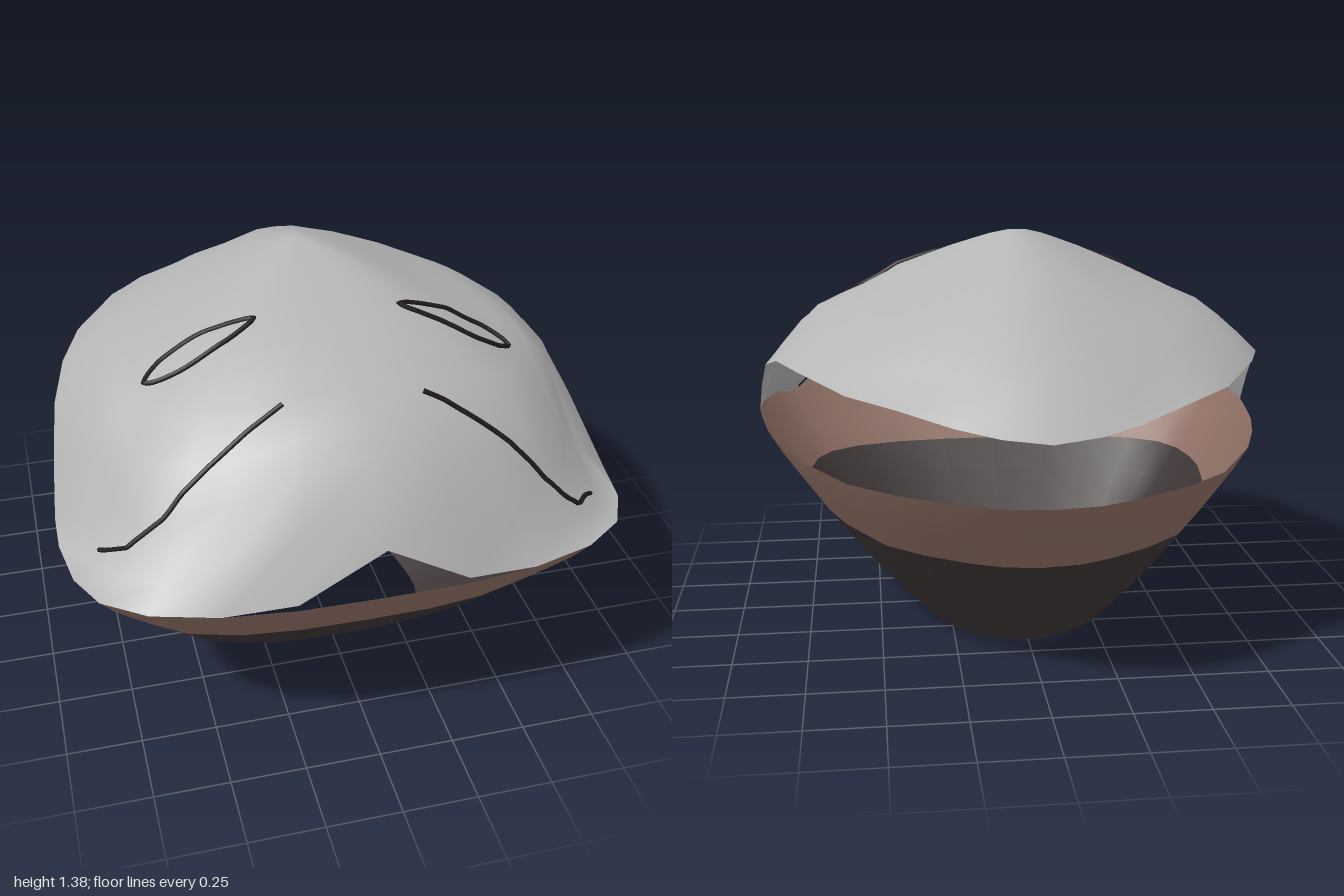
import * as THREE from 'three';

const makeMaterial = (name, color, side = THREE.FrontSide) => {
  const m = new THREE.MeshStandardMaterial({ color, side });
  m.name = name;
  return m;
};

// Half plan outline from front to back: x, z, then hood heights at the outer HOOD_T rings
const HOOD_T = [0.45, 0.65, 0.75, 0.83, 0.92, 1];
const HALF = [
  [0, 0.995, 1.25, 1.18, 1.12, 1.06, 0.95, 0.84],
  [0.27, 0.99, 1.25, 1.17, 1.1, 1.02, 0.88, 0.68],
  [0.5, 0.965, 1.24, 1.14, 1.04, 0.95, 0.79, 0.66],
  [0.71, 0.905, 1.23, 1.11, 1.0, 0.88, 0.71, 0.66],
  [0.845, 0.81, 1.22, 1.09, 0.97, 0.82, 0.68, 0.66],
  [0.91, 0.68, 1.22, 1.09, 0.98, 0.84, 0.67, 0.66],
  [0.938, 0.5, 1.22, 1.11, 1.03, 0.92, 0.72, 0.66],
  [0.937, 0.35, 1.22, 1.13, 1.08, 1.0, 0.87, 0.66],
  [0.915, 0.2, 1.22, 1.14, 1.1, 1.04, 0.94, 0.79],
  [0.885, 0.02, 1.22, 1.15, 1.11, 1.06, 0.99, 0.905],
  [0.835, -0.17, 1.22, 1.15, 1.11, 1.07, 1.02, 0.955],
  [0.76, -0.38, 1.22, 1.15, 1.11, 1.07, 1.02, 0.96],
  [0.6, -0.67, 1.22, 1.14, 1.09, 1.05, 0.99, 0.94],
  [0.45, -0.81, 1.23, 1.13, 1.07, 1.02, 0.96, 0.925],
  [0.28, -0.92, 1.23, 1.12, 1.06, 1.01, 0.95, 0.89],
  [0.15, -0.98, 1.235, 1.12, 1.06, 1.01, 0.94, 0.87],
  [0, -1, 1.235, 1.12, 1.06, 1.01, 0.94, 0.855],
];
const OUTLINE = [...HALF, ...HALF.slice(1, -1).reverse().map(([x, ...rest]) => [-x, ...rest])];

// Skin closed rings, ordered from bottom to top, into one smooth surface
function loft(rings) {
  const n = rings[0].length;
  const index = [];
  for (let i = 0; i < rings.length - 1; i++) {
    for (let j = 0; j < n; j++) {
      const k = (j + 1) % n;
      const a = i * n + j, b = i * n + k, c = b + n, d = a + n;
      index.push(a, b, c, a, c, d);
    }
  }
  const g = new THREE.BufferGeometry();
  g.setAttribute('position', new THREE.Float32BufferAttribute(rings.flat(2), 3));
  g.setIndex(index);
  g.computeVertexNormals();
  return g;
}

// Bowl wall: the outline scaled at each [height, scale] level
const bowlGeometry = (levels) =>
  loft(levels.map(([y, s]) => OUTLINE.map(([x, z]) => [x * s, y, z * s])));

// Hood: rings shrinking from the rim to a soft peak slightly behind the centre
function hoodGeometry() {
  const peakZ = -0.07;
  const ring = (t, height) =>
    OUTLINE.map((p) => [p[0] * t, height(p), peakZ + (p[1] - peakZ) * t]);
  const outer = HOOD_T.map((t, i) => ring(t, (p) => p[2 + i])).reverse();
  const crown = [[0.25, 1.305], [0.17, 1.335], [0.1, 1.36], [0.04, 1.376], [0, 1.378]]
    .map(([t, y]) => ring(t, () => y));
  return loft([...outer, ...crown]);
}

// Thin tube laid over the hood along plan points [x, z]
function drapedLine(points, hood, material, name, closed = false, tension = 0) {
  const plan = new THREE.CatmullRomCurve3(
    points.map(([x, z]) => new THREE.Vector3(x, 3, z)), closed, 'catmullrom', tension);
  const ray = new THREE.Raycaster();
  const down = new THREE.Vector3(0, -1, 0);
  const samples = plan.getSpacedPoints(28);
  if (closed) samples.pop();
  const path = samples.map((p) => {
    ray.set(p, down);
    const hit = ray.intersectObject(hood)[0];
    return new THREE.Vector3(p.x, (hit ? hit.point.y : 0.66) + 0.006, p.z);
  });
  const curve = new THREE.CatmullRomCurve3(path, closed, 'catmullrom', 0.3);
  const mesh = new THREE.Mesh(new THREE.TubeGeometry(curve, 70, 0.008, 6, closed), material);
  mesh.name = name;
  return mesh;
}

export function createModel() {
  const group = new THREE.Group();
  group.name = 'hoodedBowl';
  const grey = makeMaterial('hoodGrey', 0xb5b5b5, THREE.DoubleSide);
  const brown = makeMaterial('bandBrown', 0x8d6e63, THREE.DoubleSide);
  const dark = makeMaterial('baseDark', 0x3d3535, THREE.DoubleSide);
  const ink = makeMaterial('lineBlack', 0x1f1b1b);

  const add = (geometry, material, name) => {
    const mesh = new THREE.Mesh(geometry, material);
    mesh.name = name;
    group.add(mesh);
    return mesh;
  };

  // Open-bottomed bowl in two colours
  add(bowlGeometry([[0, 0.4], [0.1, 0.51], [0.2, 0.615], [0.3, 0.71], [0.41, 0.805]]), dark, 'bowlBase');
  add(bowlGeometry([[0.41, 0.805], [0.5, 0.88], [0.58, 0.945], [0.66, 1]]), brown, 'bowlBand');

  // Open-backed hood
  const hood = add(hoodGeometry(), grey, 'hood');

  // Almond outlines on the hood
  const eyes = {
    leftEyeLine: [[0.24, 0.28], [0.4, 0.266], [0.53, 0.282], [0.612, 0.345], [0.56, 0.372], [0.47, 0.372], [0.34, 0.335]],
    rightEyeLine: [[-0.24, 0.27], [-0.36, 0.25], [-0.45, 0.24], [-0.55, 0.258], [-0.612, 0.31], [-0.57, 0.338], [-0.48, 0.35], [-0.35, 0.33]],
  };
  for (const [name, pts] of Object.entries(eyes)) group.add(drapedLine(pts, hood, ink, name, true, 0.4));

  // Angled lines running down to the rim
  const cheeks = {
    leftCheekLine: [[0.21, 0.64], [0.43, 0.71], [0.6, 0.77], [0.73, 0.755], [0.81, 0.67]],
    rightCheekLine: [[-0.23, 0.62], [-0.45, 0.68], [-0.62, 0.715], [-0.74, 0.69], [-0.82, 0.61]],
  };
  for (const [name, pts] of Object.entries(cheeks)) group.add(drapedLine(pts, hood, ink, name));

  return group;
}
